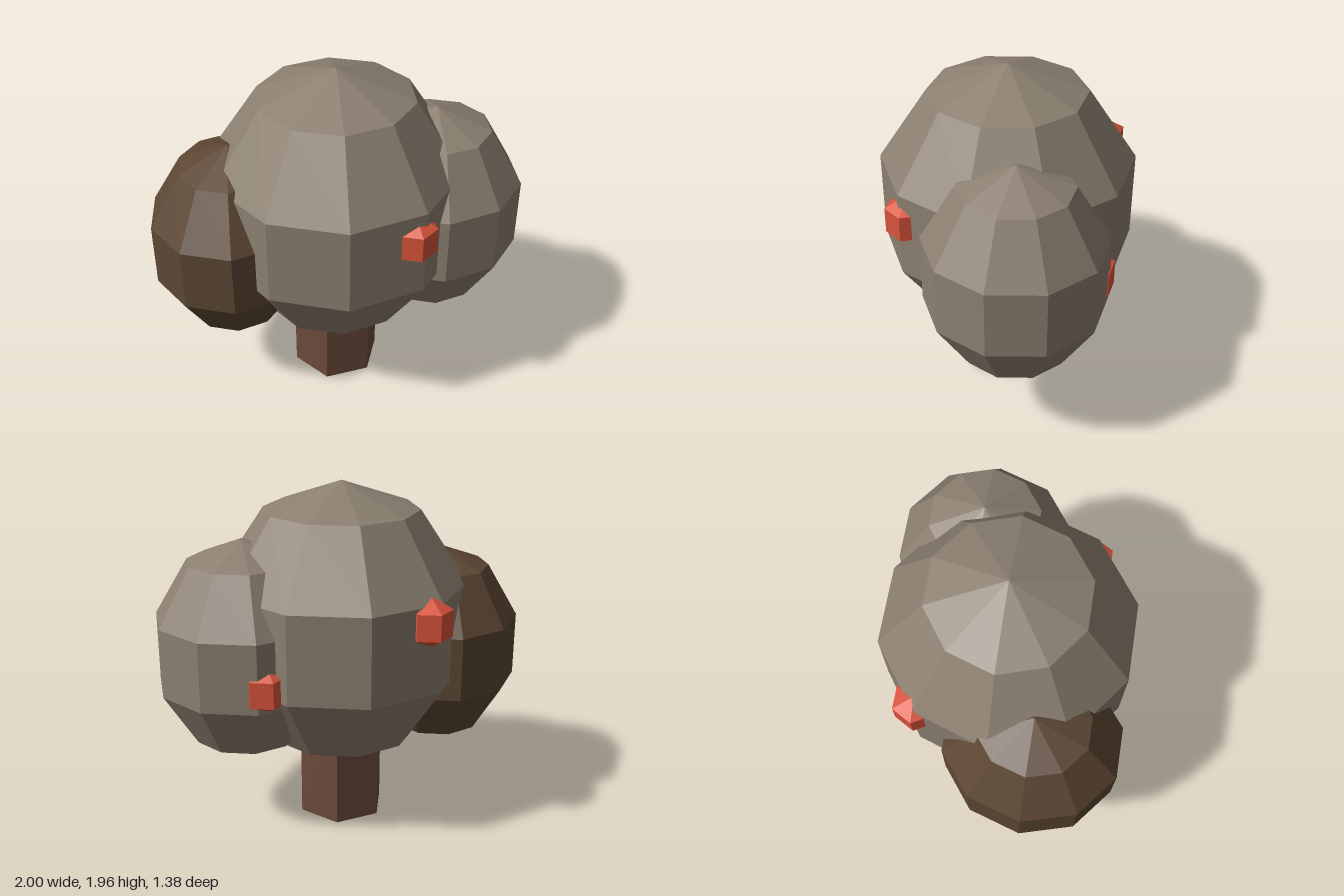
import * as THREE from 'three';

const material = (color) => new THREE.MeshStandardMaterial({ color, flatShading: true });

// Low-poly ellipsoid: centre and radii as [x, y, z]
function ellipsoid(name, mat, centre, radii, sides, rings) {
  const geometry = new THREE.SphereGeometry(1, sides, rings);
  geometry.scale(...radii);
  const mesh = new THREE.Mesh(geometry, mat);
  mesh.name = name;
  mesh.position.set(...centre);
  return mesh;
}

export function createModel() {
  const tree = new THREE.Group();
  tree.name = 'tree';

  const bark = material(0x6b4a3b);
  const leaves = material(0x8b7f70);
  const darkLeaves = material(0x5c4633);
  const red = material(0xd9533b);

  // Six-sided trunk, running up into the crown
  const trunk = new THREE.Mesh(new THREE.CylinderGeometry(0.257, 0.257, 0.7, 6), bark);
  trunk.name = 'trunk';
  trunk.position.set(-0.008, 0.35, 0.003);
  tree.add(trunk);

  // Three overlapping foliage clumps
  tree.add(
    ellipsoid('crown', leaves, [-0.008, 1.16, 0.003], [0.735, 0.8, 0.737], 10, 5),
    ellipsoid('leftFoliage', leaves, [0.508, 1.055, -0.21], [0.517, 0.625, 0.52], 10, 5),
    ellipsoid('rightFoliage', darkLeaves, [-0.55, 0.98, 0.22], [0.473, 0.58, 0.52], 10, 5)
  );

  // Fruit half sunk into the foliage
  const fruit = new THREE.Group();
  fruit.name = 'fruit';
  const centres = [[0.49, 1.235, 0.39], [-0.505, 1.31, -0.41], [0.335, 0.975, -0.58]];
  centres.forEach((centre, i) =>
    fruit.add(ellipsoid(`fruit${i + 1}`, red, centre, [0.143, 0.145, 0.145], 6, 3)));
  tree.add(fruit);

  return tree;
}
